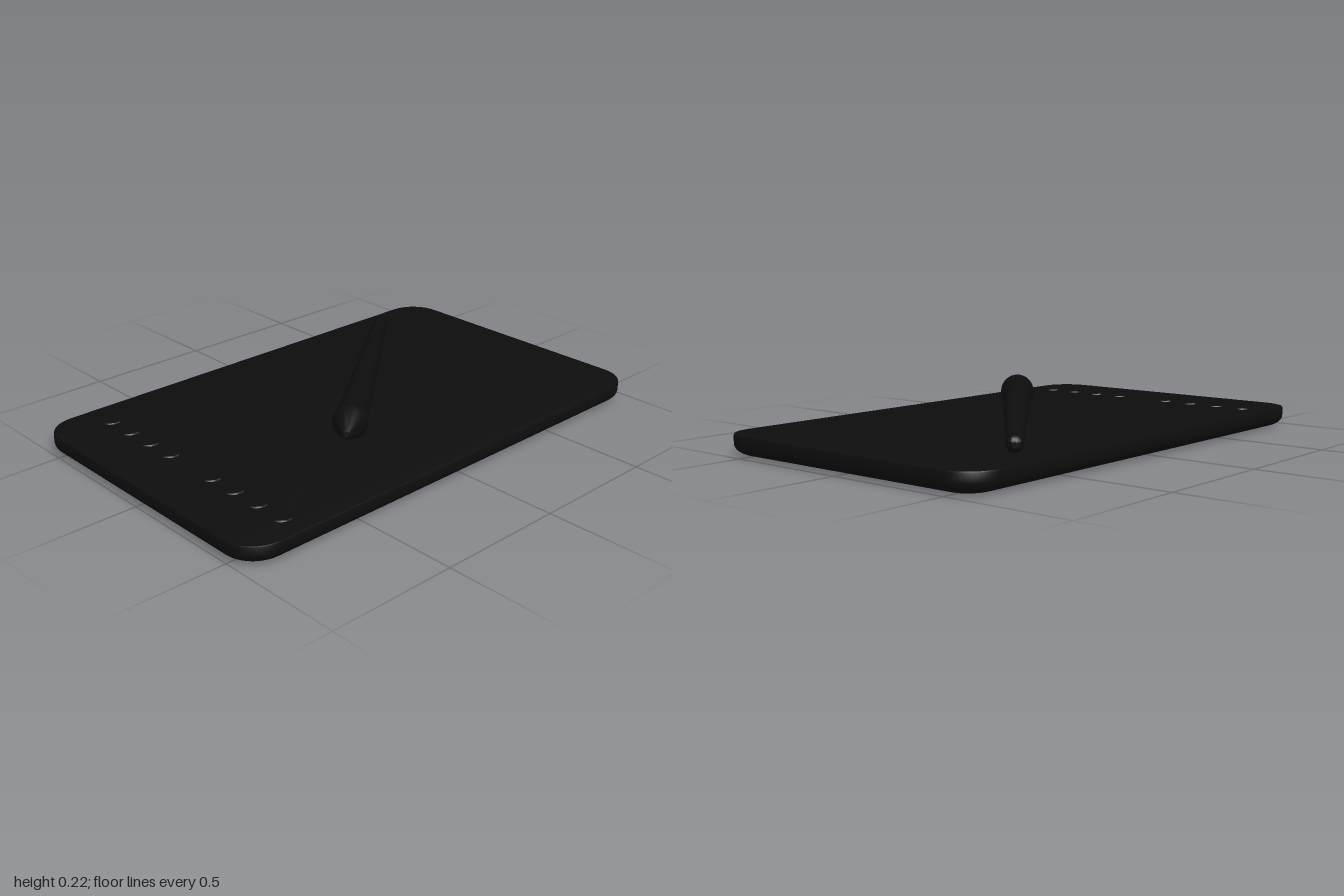
import * as THREE from 'three';
import { toCreasedNormals } from 'three/addons/utils/BufferGeometryUtils.js';

const black = new THREE.MeshStandardMaterial({ color: 0x0d0d0d });
black.name = 'matte black';

function addMesh(parent, name, geometry) {
  const mesh = new THREE.Mesh(geometry, black);
  mesh.name = name;
  parent.add(mesh);
  return mesh;
}

// Rounded slab lofted from [inset, height] rings, bottom to top
function slabGeometry(halfX, halfZ, radius, rings) {
  const steps = 10, count = 4 * (steps + 1), pos = [], index = [];
  for (const [inset, y] of rings) {
    for (let c = 0; c < 4; c++) {
      const sx = c === 0 || c === 3 ? 1 : -1, sz = c < 2 ? 1 : -1;
      for (let i = 0; i <= steps; i++) {
        const a = (c + i / steps) * Math.PI / 2, r = radius - inset;
        pos.push(sx * (halfX - radius) + r * Math.cos(a), y, sz * (halfZ - radius) + r * Math.sin(a));
      }
    }
  }
  const last = rings.length - 1, low = rings.length * count, high = low + 1;
  pos.push(0, rings[0][1], 0, 0, rings[last][1], 0);
  for (let j = 0; j < count; j++) {
    const k = (j + 1) % count;
    for (let i = 0; i < last; i++) {
      const a = i * count, b = a + count;
      index.push(a + j, b + j, a + k, a + k, b + j, b + k);
    }
    index.push(low, j, k, high, last * count + k, last * count + j);
  }
  const g = new THREE.BufferGeometry();
  g.setAttribute('position', new THREE.Float32BufferAttribute(pos, 3));
  g.setIndex(index);
  return toCreasedNormals(g, 0.6);
}

export function createModel() {
  const model = new THREE.Group();
  model.name = 'drawingTablet';

  // Tablet body with a softly curved underside
  const rings = [];
  for (let i = 0; i <= 8; i++) {
    const a = i / 8 * Math.PI / 2;
    rings.push([0.085 * (1 - Math.sin(a)), 0.045 * (1 - Math.cos(a))]);
  }
  rings.push([0, 0.077], [0.002, 0.081], [0.006, 0.082]);
  addMesh(model, 'tabletBody', slabGeometry(1, 0.617, 0.13, rings));

  // Two groups of four round shortcut keys
  const keyShape = toCreasedNormals(new THREE.CylinderGeometry(0.041, 0.046, 0.008, 32), 0.5);
  for (const side of [-1, 1]) {
    for (let i = 0; i < 4; i++) {
      addMesh(model, 'shortcutKey', keyShape).position.set(-0.767, 0.0825, side * (0.122 + i * 0.125));
    }
  }

  // Stylus resting on the tablet, with its local y axis running from nib to end
  const tip = new THREE.Vector3(-0.325, 0.155, 0.33), end = new THREE.Vector3(0.647, 0.11, -0.484);
  const axis = end.clone().sub(tip), length = axis.length();
  axis.normalize();
  const side = new THREE.Vector3().crossVectors(axis, new THREE.Vector3(0, 1, 0)).normalize();
  const pen = new THREE.Group();
  pen.name = 'stylus';
  pen.position.copy(tip);
  pen.quaternion.setFromRotationMatrix(
    new THREE.Matrix4().makeBasis(side, axis, new THREE.Vector3().crossVectors(side, axis)));
  model.add(pen);

  const lathe = (pts) => toCreasedNormals(
    new THREE.LatheGeometry(pts.map(([r, y]) => new THREE.Vector2(r, y)), 32), 0.6);
  addMesh(pen, 'nib', lathe([[0, 0], [0.006, 0.002], [0.009, 0.008], [0.01, 0.035]]));
  const profile = [[0.009, 0.022], [0.016, 0.024], [0.032, 0.055], [0.05, 0.095], [0.061, 0.122],
    [0.066, 0.138], [0.067, 0.15], [0.065, 0.165], [0.06, 0.185], [0.058, 0.22], [0.044, 0.72]];
  for (let i = 0; i <= 6; i++) {
    const a = i / 6 * Math.PI / 2;
    profile.push([0.031 * Math.cos(a), length - 0.028 + 0.028 * Math.sin(a)]);
  }
  addMesh(pen, 'stylusBarrel', lathe(profile));

  // Side rocker switch on the grip
  const rocker = addMesh(pen, 'sideSwitch', new THREE.CapsuleGeometry(0.012, 0.13, 6, 16));
  rocker.position.set(0.053, 0.3, 0);
  rocker.rotation.z = 0.028;
  rocker.scale.x = 0.6;

  return model;
}
